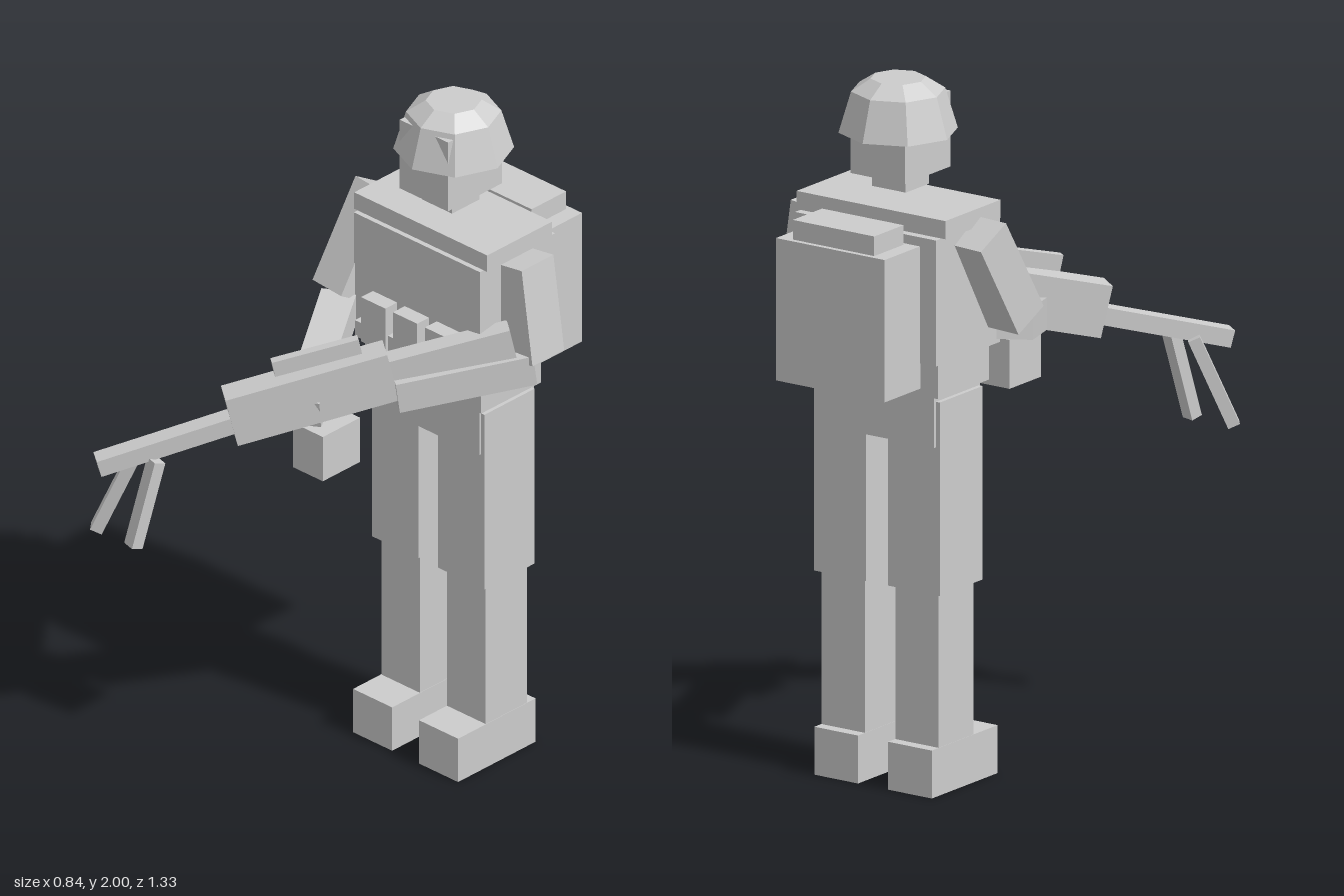
import * as THREE from 'three';

export function createModel() {
  const model = new THREE.Group();
  model.name = 'soldierFigure';
  const grey = new THREE.MeshStandardMaterial({ color: 0xcccccc });
  grey.name = 'plainGrey';

  const add = (name, geometry) => {
    const mesh = new THREE.Mesh(geometry, grey);
    mesh.name = name;
    model.add(mesh);
    return mesh;
  };

  // Upright block given by its limits on each axis
  const block = (name, [x0, x1], [y0, y1], [z0, z1]) => {
    const mesh = add(name, new THREE.BoxGeometry(x1 - x0, y1 - y0, z1 - z0));
    mesh.position.set((x0 + x1) / 2, (y0 + y1) / 2, (z0 + z1) / 2);
  };

  // Slanted bar from point a to point b
  const bar = (name, a, b, width, height) => {
    const start = new THREE.Vector3(...a);
    const end = new THREE.Vector3(...b);
    const mesh = add(name, new THREE.BoxGeometry(width, height, start.distanceTo(end)));
    mesh.position.copy(start).lerp(end, 0.5);
    mesh.lookAt(end);
  };

  const cx = 0.055; // the body stands a little off centre

  // Legs and boots
  for (const [side, s] of [['right', -1], ['left', 1]]) {
    const x = cx + s * 0.125;
    block(side + 'Boot', [x - 0.074, x + 0.074], [0, 0.137], [-0.46, -0.152]);
    block(side + 'LowerLeg', [x - 0.073, x + 0.073], [0.137, 0.577], [-0.427, -0.263]);
    block(side + 'UpperLeg', [x - 0.088, x + 0.088], [0.577, 1.13], [-0.442, -0.242]);
  }

  // Trunk
  block('pelvis', [cx - 0.2, cx + 0.2], [1.0, 1.15], [-0.452, -0.236]);
  block('belt', [cx - 0.22, cx + 0.22], [1.145, 1.25], [-0.46, -0.222]);
  block('torso', [cx - 0.239, cx + 0.239], [1.25, 1.61], [-0.495, -0.197]);
  block('shoulderYoke', [cx - 0.252, cx + 0.252], [1.61, 1.662], [-0.47, -0.212]);

  // Chest rig with three pouches
  block('chestRig', [cx - 0.2, cx + 0.2], [1.25, 1.3], [-0.2, -0.16]);
  for (const i of [-1, 0, 1]) {
    const x = cx + i * 0.121;
    block('pouch', [x - 0.046, x + 0.046], [1.25, 1.39], [-0.2, -0.15]);
  }

  // Backpack
  block('backpack', [cx - 0.184, cx + 0.184], [1.177, 1.584], [-0.66, -0.492]);
  block('backpackLid', [cx - 0.138, cx + 0.138], [1.584, 1.64], [-0.645, -0.508]);

  // Neck, head and eight-sided helmet
  block('neck', [cx - 0.057, cx + 0.057], [1.69, 1.735], [-0.386, -0.277]);
  block('head', [cx - 0.092, cx + 0.092], [1.733, 1.95], [-0.438, -0.225]);
  const profile = [[0, 1.849], [0.166, 1.849], [0.131, 1.965], [0.077, 2.0], [0, 2.0]];
  const dome = new THREE.LatheGeometry(profile.map(p => new THREE.Vector2(...p)), 8).toNonIndexed();
  dome.computeVertexNormals();
  add('helmet', dome).position.set(cx, 0, -0.343);

  // Arms
  bar('leftUpperArm', [0.316, 1.602, -0.343], [0.357, 1.317, -0.343], 0.126, 0.115);
  bar('leftForearm', [0.375, 1.305, -0.32], [0.15, 1.255, -0.01], 0.09, 0.09);
  bar('rightUpperArm', [-0.225, 1.605, -0.36], [-0.24, 1.335, -0.205], 0.12, 0.12);
  bar('rightForearm', [-0.23, 1.31, -0.19], [0.0, 1.21, 0.2], 0.1, 0.09);

  // Long gun held across the body
  bar('gunBody', [-0.138, 1.21, 0.346], [0.135, 1.315, -0.01], 0.085, 0.15);
  bar('gunBarrel', [-0.353, 1.095, 0.645], [-0.13, 1.195, 0.34], 0.056, 0.05);
  bar('gunSight', [-0.065, 1.352, 0.25], [0.079, 1.402, 0.056], 0.027, 0.046);
  bar('gunStock', [0.13, 1.295, 0.0], [0.345, 1.37, -0.275], 0.06, 0.125);
  block('ammoBox', [-0.034, 0.08], [1.03, 1.17], [0.055, 0.203]);

  // Bipod
  bar('bipodLeg', [-0.31, 1.11, 0.535], [-0.395, 0.86, 0.605], 0.042, 0.035);
  bar('bipodLeg', [-0.235, 1.11, 0.535], [-0.255, 0.86, 0.605], 0.042, 0.035);

  return model;
}
